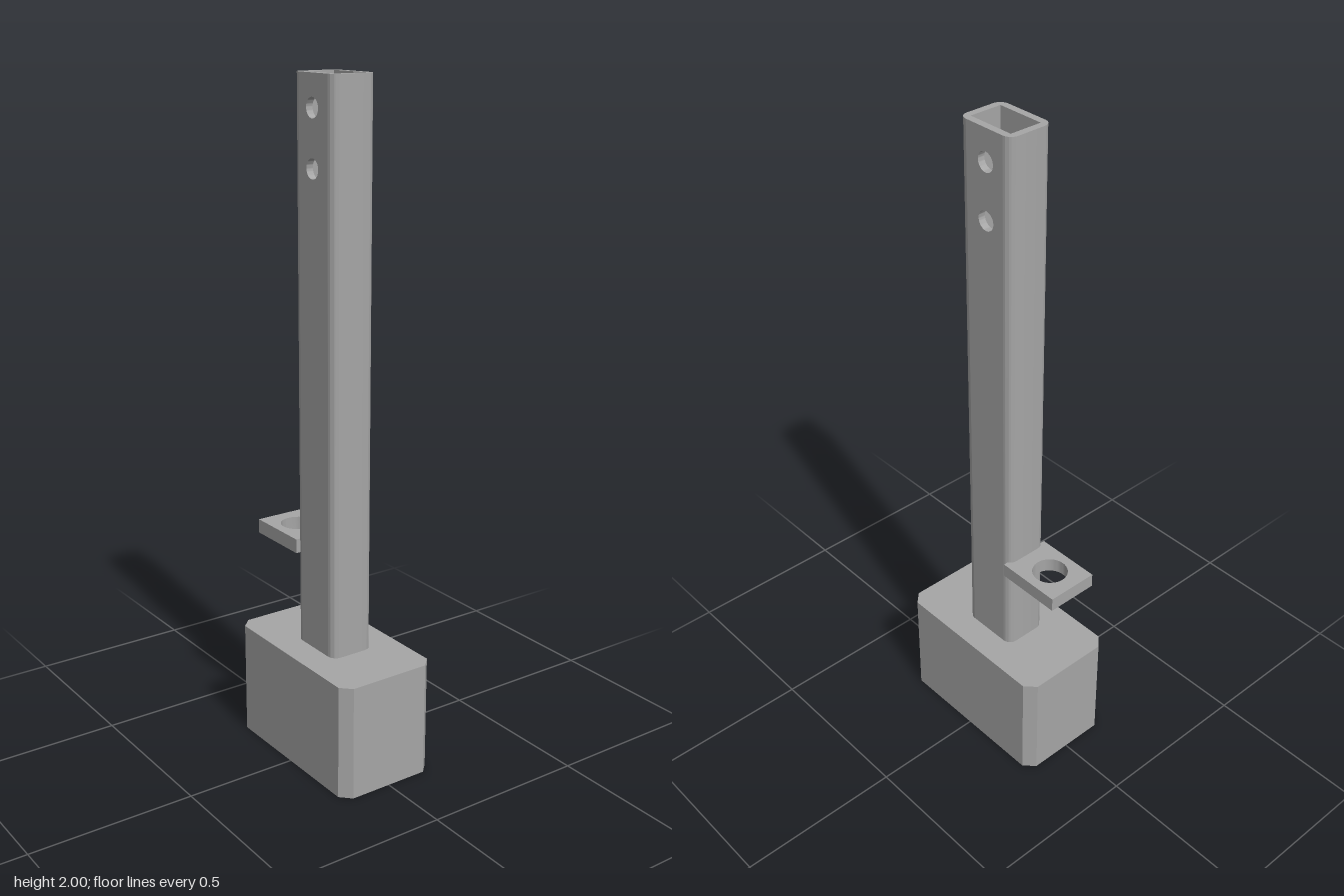
import * as THREE from 'three';
import { toCreasedNormals } from 'three/addons/utils/BufferGeometryUtils.js';

const steel = new THREE.MeshStandardMaterial({ color: 0xa6a6a6 });
steel.name = 'grey steel';

const polygon = (points, Type = THREE.Shape) => new Type(points.map(([x, y]) => new THREE.Vector2(x, y)));
const rect = (cx, cy, hw, hh, Type) =>
  polygon([[cx - hw, cy - hh], [cx + hw, cy - hh], [cx + hw, cy + hh], [cx - hw, cy + hh]], Type);
const circle = (cx, cy, r) => new THREE.Path().absarc(cx, cy, r, 0, Math.PI * 2, true);

function extrude(shape, depth, holes = []) {
  shape.holes.push(...holes);
  return new THREE.ExtrudeGeometry(shape, { depth, bevelEnabled: false, curveSegments: 24 });
}

// A plan outline (x, z) raised from y0 to y1
const raise = (shape, y0, y1, holes) =>
  extrude(shape, y1 - y0, holes).rotateX(-Math.PI / 2).translate(0, y0, 0);

export function createModel() {
  const model = new THREE.Group();
  model.name = 'postWithSocketBase';
  const add = (name, geometry, parent = model) => {
    const mesh = new THREE.Mesh(toCreasedNormals(geometry, 0.5), steel);
    mesh.name = name;
    parent.add(mesh);
  };

  // Chamfered base block, hollow from below, with two blind screw holes
  const base = new THREE.Group();
  base.name = 'base';
  model.add(base);
  const w = 0.278, d = 0.158, c = 0.031;
  const outline = () => polygon([
    [-w + c, -d], [w - c, -d], [w, -d + c], [w, d - c],
    [w - c, d], [-w + c, d], [-w, d - c], [-w, -d + c],
  ]);
  const cavity = () => rect(0.004, 0, 0.17, 0.105, THREE.Path);
  add('baseFoot', raise(outline(), 0, 0.16, [cavity(), circle(-0.216, 0, 0.015), circle(0.22, 0, 0.015)]), base);
  add('baseWalls', raise(outline(), 0.16, 0.305, [cavity()]), base);

  // Post dimensions: rounded outside, square inside
  const cx = 0.004, hw = 0.094, hd = 0.07, r = 0.027, iw = 0.073, id = 0.049;
  const bottom = 0.347, top = 2;
  add('baseTop', raise(outline(), 0.305, bottom, [rect(cx, 0, iw, id, THREE.Path)]), base);

  // Post sides with rounded corners
  const post = new THREE.Group();
  post.name = 'post';
  model.add(post);
  const flat = hw - r;
  const side = new THREE.Shape();
  side.moveTo(flat, -id);
  side.lineTo(flat, -hd);
  side.absarc(flat, -hd + r, r, -Math.PI / 2, 0, false);
  side.absarc(flat, hd - r, r, 0, Math.PI / 2, false);
  side.lineTo(flat, id);
  side.lineTo(iw, id);
  side.lineTo(iw, -id);
  const sideGeometry = raise(side, bottom, top);
  add('postLeftSide', sideGeometry.clone().translate(cx, 0, 0), post);
  add('postRightSide', sideGeometry.clone().rotateY(Math.PI).translate(cx, 0, 0), post);

  // Front and back walls, each drilled twice near the top
  for (const [name, z] of [['postFrontWall', id], ['postBackWall', -hd]]) {
    const wall = rect(cx, (bottom + top) / 2, flat, (top - bottom) / 2);
    const holes = [1.75, 1.91].map((y) => circle(0, y, 0.028));
    add(name, extrude(wall, hd - id, holes).translate(0, 0, z), post);
  }

  // Side tab with a large round hole
  add('sideTab', raise(rect(-0.1795, 0, 0.1025, 0.08), 0.625, 0.668, [circle(-0.188, 0, 0.052)]));

  return model;
}
